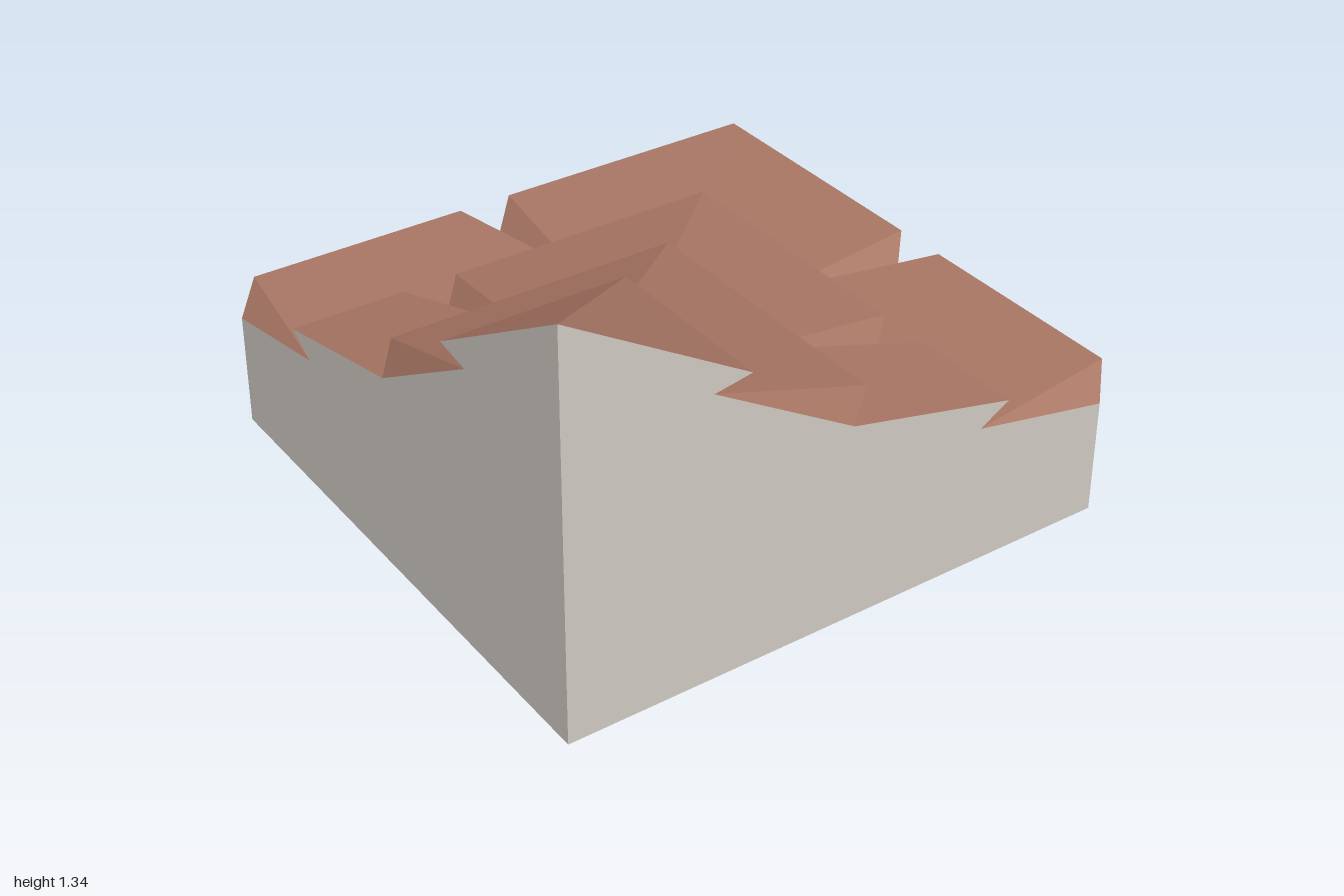
import * as THREE from 'three';

const stone = new THREE.MeshStandardMaterial({ color: 0xcfcbc3 });
stone.name = 'pale stone';
const clay = new THREE.MeshStandardMaterial({ color: 0xaa7765 });
clay.name = 'clay roof';

// Roof courses in section: inner edge, eave and underside as [x, y]; splits are z positions
const courses = [
  { inner: [-1, 1.34], eave: [-0.4, 0.98], under: [-0.525, 0.958], splits: [] },
  { inner: [-0.525, 0.958], eave: [0.07, 0.714], under: [-0.045, 0.672], splits: [1] },
  { inner: [-0.045, 0.672], eave: [0.533, 0.541], under: [0.43, 0.48], splits: [0.52] },
  { inner: [0.43, 0.48], eave: [1, 0.465], under: [0.91, 0.387], splits: [0.042, 1] },
];
const SPLIT = 0.095; // half width of a split at the eave
const WALL = 0.91;
const WALL_TOP = 0.387;

// Swaps the right slope for the back slope across the hip line
const acrossHip = ([x, y, z]) => [-z, y, -x];

// Flat-shaded mesh from convex polygons, optionally mirrored across the hip
function facets(name, polygons, material, mirrored = false) {
  const pos = [];
  for (const polygon of polygons) {
    const p = mirrored ? polygon.map(acrossHip).reverse() : polygon;
    for (let i = 1; i < p.length - 1; i++) pos.push(...p[0], ...p[i], ...p[i + 1]);
  }
  const geometry = new THREE.BufferGeometry();
  geometry.setAttribute('position', new THREE.Float32BufferAttribute(pos, 3));
  geometry.computeVertexNormals();
  const mesh = new THREE.Mesh(geometry, material);
  mesh.name = name;
  return mesh;
}

// One course of the right slope: shingle panels, their undersides and the V splits
function coursePolygons({ inner, eave, under, splits }) {
  const at = ([x, y], z) => [x, y, z];
  const polygons = [];
  let start = { i: -inner[0], e: -eave[0], u: -under[0] };
  const panel = (s, t) => {
    polygons.push([at(eave, s.e), at(inner, s.i), at(inner, t.i), at(eave, t.e)]);
    polygons.push([at(eave, s.e), at(eave, t.e), at(under, t.u), at(under, s.u)]);
  };
  for (const z of splits) {
    panel(start, { i: z, e: z - SPLIT, u: z });
    polygons.push([at(inner, z), at(under, z), at(eave, z - SPLIT)]);
    if (z < 1) polygons.push([at(inner, z), at(eave, z + SPLIT), at(under, z)]);
    start = { i: z, e: z + SPLIT, u: z };
  }
  if (start.i < 1) panel(start, { i: 1, e: 1, u: 1 });
  else if (!splits.length) {
    // The top course starts at the peak itself
    panel(start, { i: 1, e: 1, u: 1 });
  }
  return polygons;
}

// Stepped cut wall, filled from the section outline
function cutWall(name, mirrored) {
  const outline = [[-1, 0], [WALL, 0], [WALL, WALL_TOP]];
  for (const { inner, eave, splits } of [...courses].reverse()) {
    if (!splits.includes(1)) outline.push(eave);
    outline.push(inner);
  }
  const points = outline.map(([x, y]) => new THREE.Vector2(x, y));
  const triangles = THREE.ShapeUtils.triangulateShape(points, []);
  const polygons = triangles.map((t) => t.map((k) => [...outline[k], 1]));
  return facets(name, polygons, stone, mirrored);
}

export function createModel() {
  const model = new THREE.Group();
  model.name = 'roofCorner';

  // Roof slopes
  for (const [side, mirrored] of [['right', false], ['back', true]]) {
    const slope = new THREE.Group();
    slope.name = side + 'Slope';
    courses.forEach((course, k) => {
      slope.add(facets(`${side}Course${k + 1}`, coursePolygons(course), clay, mirrored));
    });
    model.add(slope);
  }

  // Cut walls
  model.add(cutWall('frontCutWall', false), cutWall('sideCutWall', true));

  // Outer walls under the eaves
  const wall = [[WALL, 0, 1], [WALL, 0, -WALL], [WALL, WALL_TOP, -WALL], [WALL, WALL_TOP, 1]];
  model.add(facets('rightWall', [wall], stone), facets('backWall', [wall], stone, true));

  // Base
  const base = [[-1, 0, 1], [-1, 0, -WALL], [WALL, 0, -WALL], [WALL, 0, 1]];
  model.add(facets('base', [base], stone));
  return model;
}
